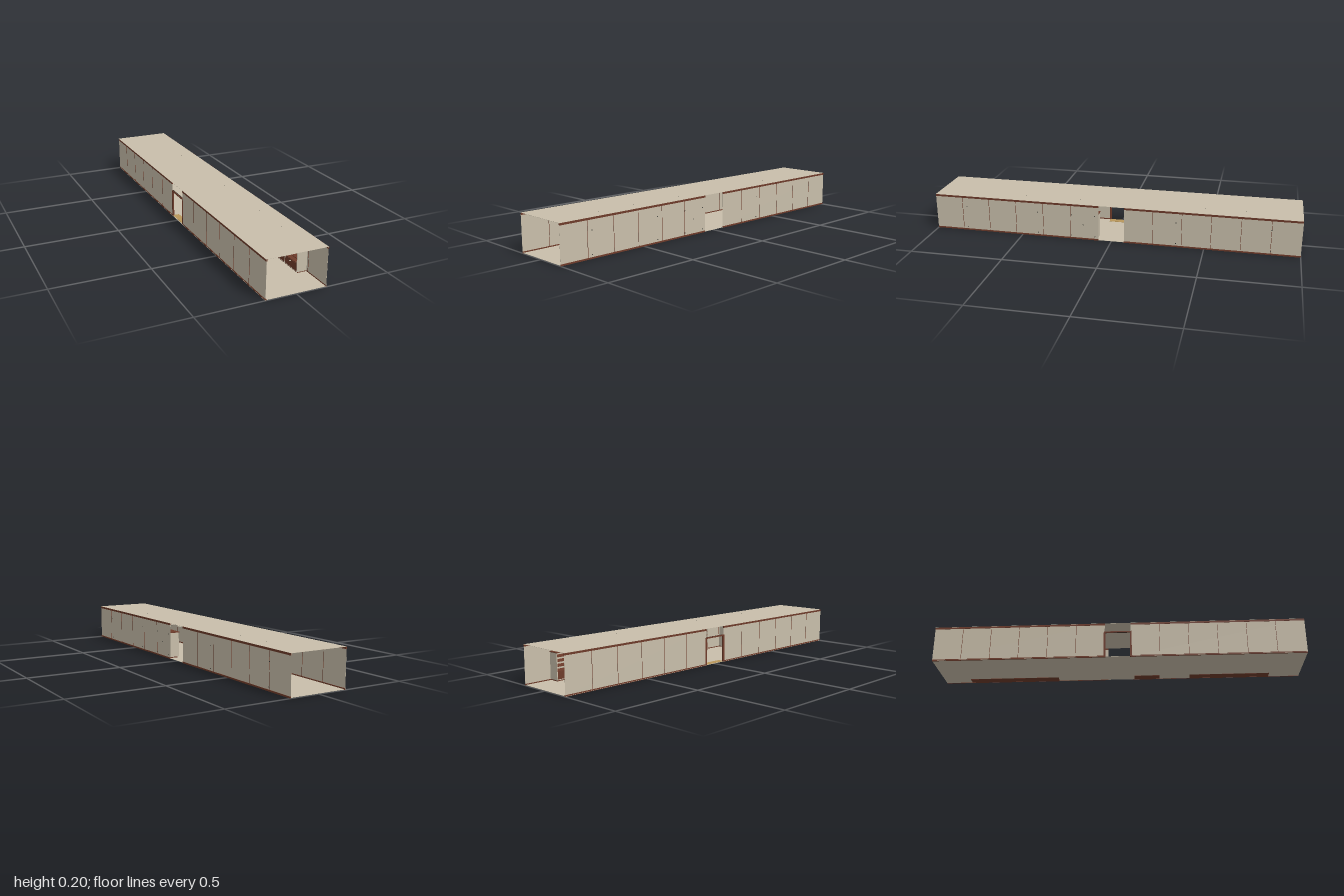
import * as THREE from 'three';

const mat = (name, color) => {
  const m = new THREE.MeshStandardMaterial({ color });
  m.name = name;
  return m;
};

export function createModel() {
  const plaster = mat('plaster', 0xc8beaa);
  const wood = mat('brown wood', 0x6e3b2a);
  const metal = mat('dark metal', 0x2e302c);
  const ochre = mat('ochre mat', 0xb8965a);
  const root = new THREE.Group();
  root.name = 'corridor';

  // Box given by its minimum and maximum on each axis
  const box = (name, m, x0, x1, y0, y1, z0, z1, parent = root) => {
    const mesh = new THREE.Mesh(new THREE.BoxGeometry(x1 - x0, y1 - y0, z1 - z0), m);
    mesh.position.set((x0 + x1) / 2, (y0 + y1) / 2, (z0 + z1) / 2);
    mesh.name = name;
    parent.add(mesh);
    return mesh;
  };

  const cylinder = (name, m, r, h, x, y, z, parent = root, sides = 12) => {
    const mesh = new THREE.Mesh(new THREE.CylinderGeometry(r, r, h, sides), m);
    mesh.position.set(x, y, z);
    mesh.name = name;
    parent.add(mesh);
    return mesh;
  };

  // Thin shell: floor and ceiling run the full length
  box('floor', plaster, -0.159, 0.159, 0.002, 0.003, -1, 1);
  box('ceiling', plaster, -0.159, 0.159, 0.1992, 0.2, -1, 1);

  // Walls with an opening in the middle, edge trims and narrow battens
  const door = 0.07;
  const sides = [
    { name: 'left', wall: 0.157, trim: [0.156, 0.16] },
    { name: 'right', wall: -0.1565, trim: [-0.1585, -0.152] },
  ];
  for (const s of sides) {
    for (const [z0, z1] of [[door, 1], [-1, -door]]) {
      const g = new THREE.Group();
      g.name = s.name + 'Wall';
      root.add(g);
      box('wallPanel', plaster, s.wall - 0.0004, s.wall + 0.0004, 0.002, 0.2, z0, z1, g);
      box('topTrim', wood, ...s.trim, 0.189, 0.1995, z0, z1, g);
      box('bottomTrim', wood, ...s.trim, 0, 0.008, z0, z1, g);
      for (let i = 1; i < 6; i++) {
        const z = z0 + ((z1 - z0) * i) / 6;
        box('batten', wood, s.wall - 0.0015, s.wall + 0.0015, 0.008, 0.189, z - 0.001, z + 0.001, g);
      }
    }
  }

  // Door frame and mat in the right wall
  const frame = new THREE.Group();
  frame.name = 'doorFrame';
  root.add(frame);
  for (const k of [-1, 1]) {
    const z = k * 0.0705;
    box('doorPost', wood, -0.158, -0.15, 0.001, 0.146, z - 0.005, z + 0.005, frame);
  }
  box('doorHeader', wood, -0.158, -0.153, 0.145, 0.152, -0.075, 0.075, frame);
  box('doorRail', metal, -0.153, -0.149, 0.145, 0.152, -0.075, 0.075, frame);
  box('doorMat', ochre, -0.155, -0.12, 0.003, 0.0045, -door, door);

  // Tall shelf units along the left wall
  const shelfUnit = (z0, z1, bays) => {
    const g = new THREE.Group();
    g.name = 'shelfUnit';
    root.add(g);
    const t = 0.004;
    box('plinth', wood, 0.107, 0.155, 0.0005, 0.009, z0 + 0.004, z1 - 0.004, g);
    box('backPanel', plaster, 0.152, 0.155, 0.009, 0.144, z0, z1, g);
    box('bottomBoard', plaster, 0.102, 0.155, 0.009, 0.012, z0, z1, g);
    box('topBoard', wood, 0.097, 0.155, 0.144, 0.148, z0 - 0.003, z1 + 0.003, g);
    for (let i = 0; i <= bays; i++) {
      const z = z0 + ((z1 - z0 - t) * i) / bays;
      box('upright', plaster, 0.101, 0.154, 0.009, 0.144, z, z + t, g);
    }
    for (const y of [0.051, 0.075, 0.099, 0.122])
      box('shelf', wood, 0.103, 0.152, y, y + 0.003, z0 + t, z1 - t, g);
    // Low cupboard doors with knobs
    for (let i = 0; i < bays; i++) {
      const w = (z1 - z0) / bays;
      const z = z0 + w * i;
      box('cupboardDoor', wood, 0.1015, 0.1045, 0.013, 0.051, z + t, z + w - t, g);
      const knob = cylinder('knob', plaster, 0.0025, 0.009, 0.0975, 0.047, z + w / 2, g);
      knob.rotation.z = Math.PI / 2;
    }
  };
  shelfUnit(0.385, 0.835, 4);
  shelfUnit(0.075, 0.225, 1);
  shelfUnit(-0.855, -0.345, 4);

  // Wall fixings that show on the outside
  const fixings = [[0.155, 0.085]];
  for (const z of [0.82, 0.41, 0.22, 0.09, -0.35, -0.845])
    fixings.push([z, 0.138], [z, 0.02]);
  for (const [z, y] of fixings) {
    const bolt = cylinder('wallFixing', metal, 0.0025, 0.005, 0.157, y, z, root, 8);
    bolt.rotation.z = Math.PI / 2;
  }

  // Pendant lamps: flat rounded disc on a thin rod
  const profile = [[0, 0.17], [0.0155, 0.17], [0.0175, 0.172], [0.0175, 0.175], [0.0155, 0.177], [0, 0.177]]
    .map(([r, y]) => new THREE.Vector2(r, y));
  const shade = new THREE.LatheGeometry(profile, 24);
  for (const z of [0.72, 0.5, 0.19, 0.1, -0.495, -0.71]) {
    const lamp = new THREE.Group();
    lamp.name = 'pendantLamp';
    lamp.position.set(0.078, 0, z);
    const disc = new THREE.Mesh(shade, plaster);
    disc.name = 'lampShade';
    lamp.add(disc);
    cylinder('lampRod', metal, 0.0013, 0.025, 0, 0.1888, 0, lamp, 8);
    root.add(lamp);
  }

  return root;
}
